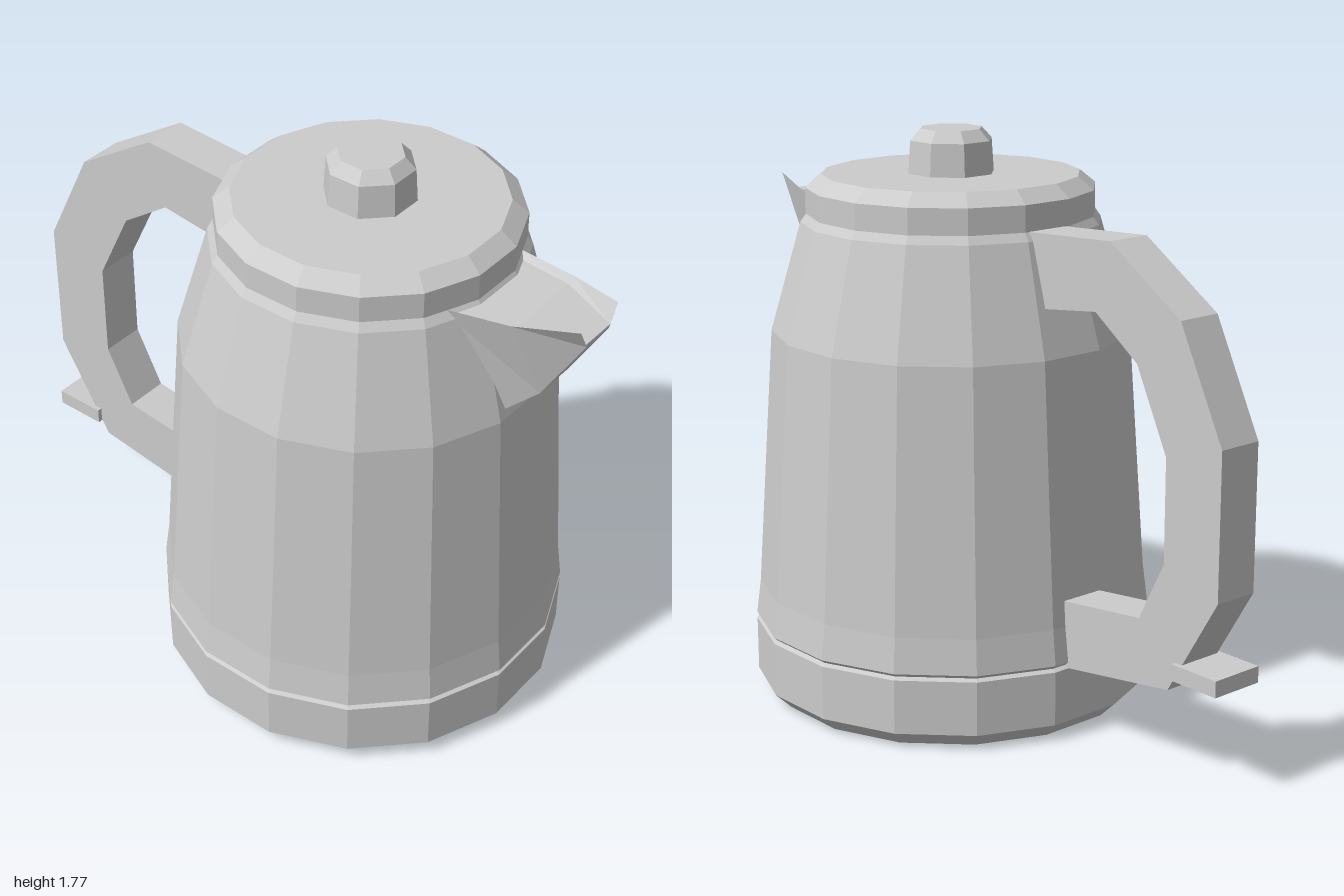
import * as THREE from 'three';

const CENTRE_Z = 0.235; // axis of the pot

export function createModel() {
  const group = new THREE.Group();
  const steel = new THREE.MeshStandardMaterial({ color: 0xcccccc, flatShading: true });
  steel.name = 'steel';

  const add = (name, geometry) => {
    const flat = geometry.index ? geometry.toNonIndexed() : geometry;
    flat.computeVertexNormals();
    const mesh = new THREE.Mesh(flat, steel);
    mesh.name = name;
    group.add(mesh);
    return mesh;
  };

  // Faceted turned part; radii are measured to the flats
  const turned = (name, sides, profile) => {
    const k = 1 / Math.cos(Math.PI / sides);
    const points = profile.map(([r, y]) => new THREE.Vector2(r * k, y));
    const geometry = new THREE.LatheGeometry(points, sides, Math.PI / sides);
    add(name, geometry).position.z = CENTRE_Z;
  };

  turned('base', 16, [[0, 0], [0.57, 0], [0.62, 0.05], [0.62, 0.22], [0.607, 0.228], [0, 0.228]]);
  turned('body', 16, [
    [0, 0.228], [0.607, 0.228], [0.62, 0.24], [0.606, 0.35],
    [0.55, 1.16], [0.455, 1.495], [0.438, 1.52], [0, 1.52],
  ]);
  turned('lid', 16, [[0, 1.51], [0.438, 1.51], [0.438, 1.6], [0.39, 1.64], [0, 1.64]]);
  turned('lidKnob', 8, [[0, 1.63], [0.127, 1.63], [0.12, 1.74], [0.09, 1.775], [0, 1.775]]);

  // Pouring spout: open trough lofted from inside the body out to the lip
  // Each section holds [x, y, z] for the rim, underside and trough floor
  const sections = [
    { rim: [0.185, 1.52, 0.61], under: [0.08, 1.15, 0.74], floor: [0.165, 1.505, 0.61] },
    { rim: [0.15, 1.535, 0.82], under: [0.072, 1.29, 0.88], floor: [0.132, 1.515, 0.82] },
    { rim: [0.09, 1.56, 1.0], under: [0.055, 1.495, 1.0], floor: [0.06, 1.505, 1.0] },
  ];
  const mirror = ([x, y, z]) => [-x, y, z];
  const rings = sections.map(({ rim, under, floor }) =>
    [mirror(rim), mirror(under), under, rim, floor, mirror(floor)]);
  const positions = [];
  for (let i = 0; i < rings.length - 1; i++) {
    for (let j = 0; j < 6; j++) {
      const n = (j + 1) % 6;
      const [a, b, c, d] = [rings[i][j], rings[i][n], rings[i + 1][n], rings[i + 1][j]];
      positions.push(...a, ...b, ...c, ...a, ...c, ...d);
    }
  }
  // Lip end face
  const tip = rings[rings.length - 1];
  for (const j of [0, 1, 5, 2, 3, 4, 1, 2, 4, 1, 4, 5]) positions.push(...tip[j]);
  const spout = new THREE.BufferGeometry();
  spout.setAttribute('position', new THREE.Float32BufferAttribute(positions, 3));
  add('spout', spout);

  // Handle: side outline (distance behind centre, height) extruded across x
  const outline = [
    [0.19, 1.52], [0.54, 1.54], [0.82, 1.36], [0.985, 1.03], [0.985, 0.59], [0.8, 0.28],
    [0.33, 0.213], [0.33, 0.425], [0.68, 0.465], [0.775, 0.65], [0.775, 0.965],
    [0.655, 1.21], [0.485, 1.33], [0.22, 1.297],
  ];
  const shape = new THREE.Shape(outline.map(([s, y]) => new THREE.Vector2(s, y)));
  const handle = new THREE.ExtrudeGeometry(shape, { depth: 0.144, bevelEnabled: false });
  handle.translate(0, 0, -0.072).rotateY(Math.PI / 2);
  add('handle', handle);

  // Small tab at the foot of the handle
  add('handleTab', new THREE.BoxGeometry(0.175, 0.05, 0.172)).position.set(0, 0.347, -0.914);

  return group;
}
